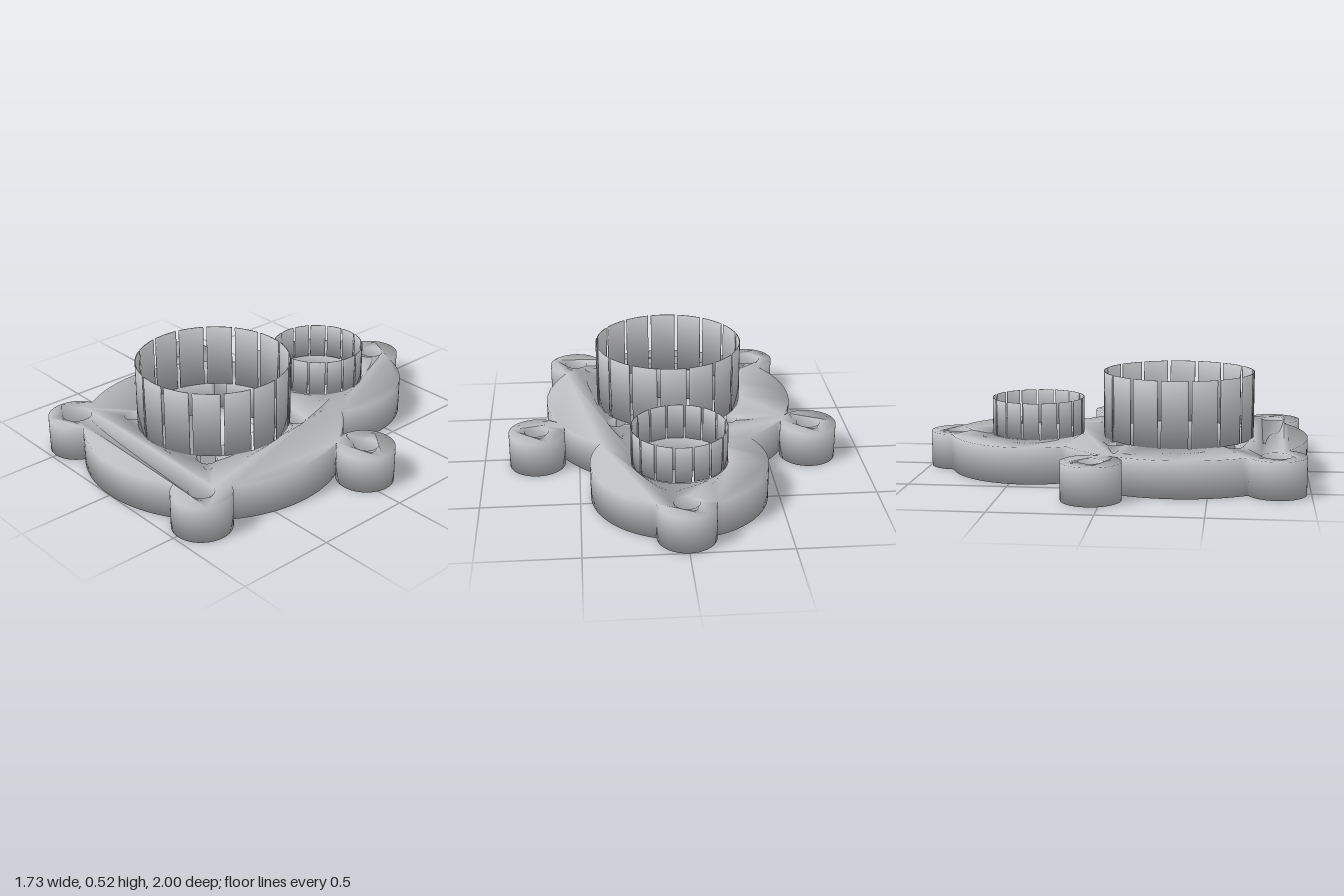
import * as THREE from 'three';
import { mergeVertices } from 'three/addons/utils/BufferGeometryUtils.js';

const PLATE = 0.187; // plate thickness

// Outline of overlapping circles [x, y, r], walked counter-clockwise from arc to arc.
function circleChain(circles) {
  const n = circles.length;
  const exits = circles.map((a, i) => {
    const b = circles[(i + 1) % n];
    const dx = b[0] - a[0], dy = b[1] - a[1], d = Math.hypot(dx, dy);
    const alpha = Math.acos((a[2] ** 2 + d * d - b[2] ** 2) / (2 * a[2] * d));
    const angle = Math.atan2(dy, dx) - alpha;
    return { angle, x: a[0] + a[2] * Math.cos(angle), y: a[1] + a[2] * Math.sin(angle) };
  });
  const points = [];
  circles.forEach(([x, y, r], i) => {
    const entry = exits[(i + n - 1) % n];
    const start = Math.atan2(entry.y - y, entry.x - x);
    let sweep = exits[i].angle - start;
    while (sweep <= 0) sweep += Math.PI * 2;
    while (sweep > Math.PI * 2) sweep -= Math.PI * 2;
    const steps = Math.max(4, Math.ceil(sweep / 0.07));
    for (let k = 0; k < steps; k++) {
      const t = start + (sweep * k) / steps;
      points.push(new THREE.Vector2(x + r * Math.cos(t), y + r * Math.sin(t)));
    }
  });
  return points;
}

// Smooth normals: every face counts by its corner angle, so rims blend evenly from top to wall.
function smoothByAngle(geometry) {
  const pos = geometry.attributes.position, index = geometry.index;
  const sums = Array.from({ length: pos.count }, () => new THREE.Vector3());
  const corner = [0, 1, 2].map(() => new THREE.Vector3());
  const u = new THREE.Vector3(), v = new THREE.Vector3(), face = new THREE.Vector3();
  for (let i = 0; i < index.count; i += 3) {
    corner.forEach((c, k) => c.fromBufferAttribute(pos, index.getX(i + k)));
    u.subVectors(corner[1], corner[0]);
    v.subVectors(corner[2], corner[0]);
    face.crossVectors(u, v);
    if (face.length() < 1e-10) continue;
    face.normalize();
    for (let k = 0; k < 3; k++) {
      u.subVectors(corner[(k + 1) % 3], corner[k]);
      v.subVectors(corner[(k + 2) % 3], corner[k]);
      sums[index.getX(i + k)].addScaledVector(face, u.angleTo(v));
    }
  }
  const normals = sums.flatMap((s) => s.normalize().toArray());
  geometry.setAttribute('normal', new THREE.Float32BufferAttribute(normals, 3));
  return geometry;
}

// Extrudes a plan shape (shape y = -z) upwards.
function extrudeUp(shape, height, curveSegments) {
  const g = new THREE.ExtrudeGeometry(shape, { depth: height, bevelEnabled: false, curveSegments });
  g.rotateX(-Math.PI / 2);
  g.deleteAttribute('uv');
  g.deleteAttribute('normal');
  return smoothByAngle(mergeVertices(g, 1e-5));
}

// Ring of thin upright fingers separated by narrow slots.
function slottedCollar(name, z, inner, outer, top, gap, material) {
  const collar = new THREE.Group();
  collar.name = name;
  const count = 16, half = Math.PI / count - gap / 2 / outer;
  const sector = new THREE.Shape();
  sector.absarc(0, 0, outer, -half, half, false);
  sector.absarc(0, 0, inner, half, -half, true);
  const geometry = extrudeUp(sector, top - PLATE, 6);
  for (let i = 0; i < count; i++) {
    const finger = new THREE.Mesh(geometry, material);
    finger.name = 'collarFinger';
    finger.rotation.y = (i / count) * Math.PI * 2;
    collar.add(finger);
  }
  collar.position.set(0, PLATE, z);
  return collar;
}

export function createModel() {
  const model = new THREE.Group();
  model.name = 'mountingFlange';
  const grey = new THREE.MeshStandardMaterial({ color: 0xbcbdc0 });
  grey.name = 'grey';

  // Plate outline: two merged discs with five bolt ears
  const big = [0, -0.33, 0.67], small = [0, 0.43, 0.447];
  const frontEar = (s) => [s * 0.505, -0.83, 0.148];
  const sideEar = (s) => [s * 0.719, 0.05, 0.147];
  const backEar = [0, 0.855, 0.145];
  const plate = new THREE.Shape(circleChain([
    frontEar(1), big, sideEar(1), big, small, backEar,
    small, big, sideEar(-1), big, frontEar(-1), big,
  ]));

  // Large bore with four notches
  const bore = [0, -0.325, 0.39];
  const notch = (sx, sy) => [sx * 0.298, -0.323 + sy * 0.298, 0.047];
  plate.holes.push(new THREE.Path(circleChain([
    notch(1, -1), bore, notch(1, 1), bore, notch(-1, 1), bore, notch(-1, -1), bore,
  ])));

  // Small bore and bolt holes
  const drill = (x, y, r) => {
    const hole = new THREE.Path();
    hole.absarc(x, y, r, 0, Math.PI * 2, true);
    plate.holes.push(hole);
  };
  drill(0, 0.424, 0.243);
  drill(0, 0.853, 0.062);
  for (const s of [1, -1]) {
    drill(s * 0.719, 0.05, 0.061);
    drill(s * 0.505, -0.83, s > 0 ? 0.062 : 0.075);
  }
  const plateMesh = new THREE.Mesh(extrudeUp(plate, PLATE, 32), grey);
  plateMesh.name = 'basePlate';
  model.add(plateMesh);

  // Slotted collars around the bores
  model.add(slottedCollar('largeCollar', 0.327, 0.388, 0.393, 0.525, 0.017, grey));
  model.add(slottedCollar('smallCollar', -0.419, 0.239, 0.243, 0.375, 0.011, grey));
  return model;
}
